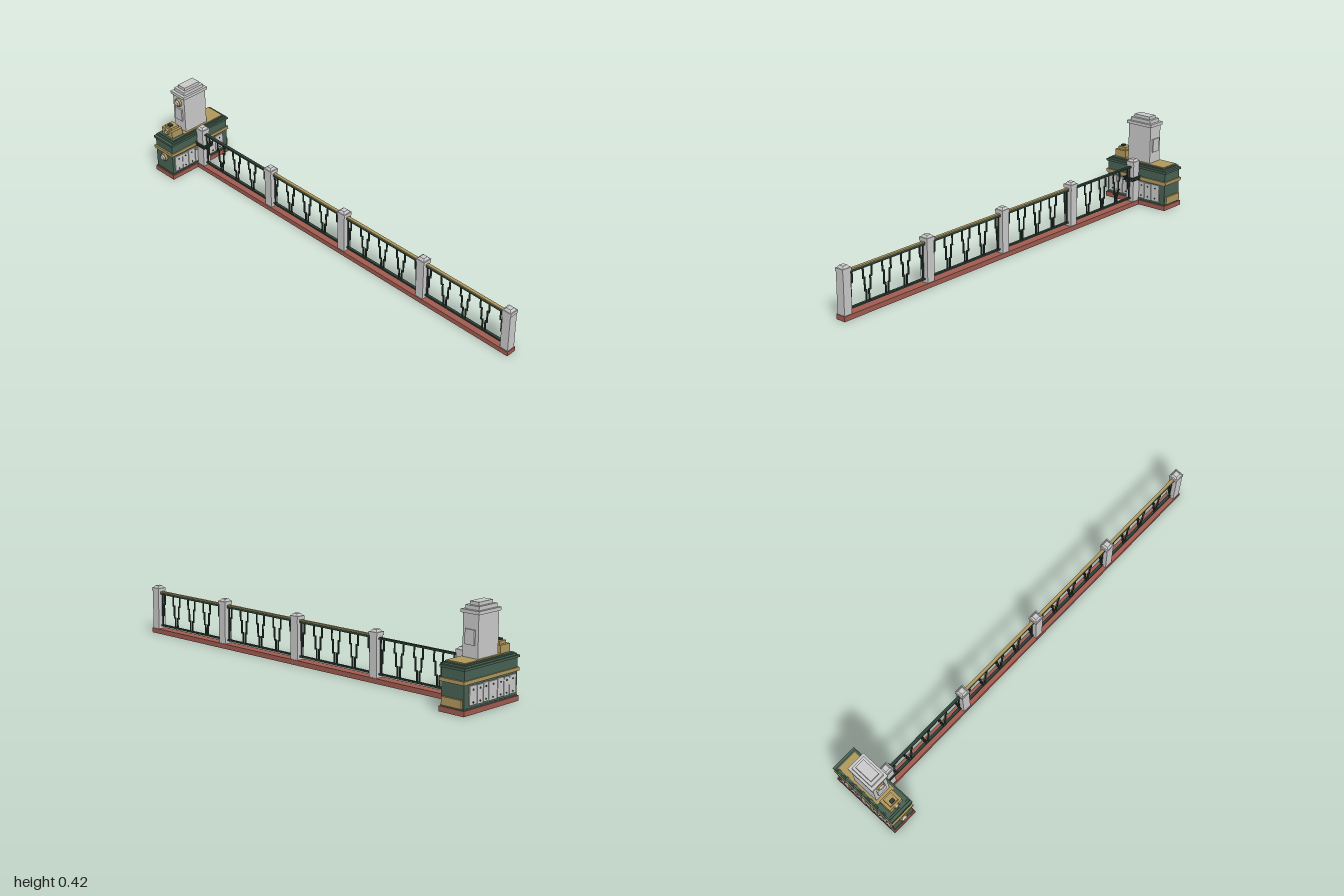
import * as THREE from 'three';

const mat = (name, color) => Object.assign(new THREE.MeshStandardMaterial({ color }), { name });

export function createModel() {
  const stone = mat('stone', 0xcacaca);
  const green = mat('green', 0x486253);
  const dark = mat('darkIron', 0x2c3f36);
  const gold = mat('gold', 0xb1985c);
  const brick = mat('brick', 0xa05b50);
  const rivetMat = mat('rivet', 0x35403c);

  const model = new THREE.Group();
  model.name = 'fenceWithGatePier';
  const CZ = -0.0035, PX = -0.936;

  // Box given by its extents
  const box = (name, m, x0, x1, y0, y1, z0, z1, parent = model) => {
    const mesh = new THREE.Mesh(new THREE.BoxGeometry(x1 - x0, y1 - y0, z1 - z0), m);
    mesh.position.set((x0 + x1) / 2, (y0 + y1) / 2, (z0 + z1) / 2);
    mesh.name = name;
    parent.add(mesh);
    return mesh;
  };
  // Box centred on the pier axis
  const slab = (name, m, w, y0, y1, d, z = CZ) =>
    box(name, m, PX - w / 2, PX + w / 2, y0, y1, z - d / 2, z + d / 2);

  // Pier plinth, body and stepped cornice
  slab('pierPlinth', brick, 0.124, 0, 0.022, 0.343);
  slab('pierFoot', green, 0.116, 0.022, 0.027, 0.334);
  slab('pierBody', green, 0.112, 0.027, 0.177, 0.33);
  slab('pierBand', gold, 0.122, 0.122, 0.137, 0.345);
  slab('corniceWide', green, 0.124, 0.177, 0.187, 0.343);
  slab('corniceMiddle', green, 0.114, 0.187, 0.195, 0.318);
  slab('corniceTop', green, 0.104, 0.195, 0.2, 0.302);
  box('goldTopRear', gold, PX - 0.047, PX + 0.047, 0.2, 0.203, -0.153, 0.075);
  box('rearGoldPlate', gold, PX - 0.05, PX + 0.05, 0.028, 0.063, -0.177, -0.168);

  // Tower with stepped cap and face plates
  slab('tower', stone, 0.076, 0.2, 0.377, 0.125);
  slab('towerPlates', stone, 0.046, 0.255, 0.316, 0.139);
  slab('towerCapWide', stone, 0.09, 0.377, 0.391, 0.139);
  slab('towerCapMiddle', stone, 0.068, 0.391, 0.407, 0.112);
  slab('towerCapTop', stone, 0.045, 0.407, 0.421, 0.086);

  // Small stepped box on the front of the pier
  slab('frontBox', gold, 0.07, 0.2, 0.234, 0.06, 0.108);
  slab('frontBoxLid', gold, 0.044, 0.234, 0.246, 0.043, 0.109);
  slab('frontBoxKnob', dark, 0.02, 0.246, 0.253, 0.016, 0.117);

  // Round medallions: gold ring around a raised stone disc
  const medallion = (y, z, r, depth) => {
    const g = new THREE.Group();
    g.name = 'medallion';
    const disc = (name, m, r0, r1, from, to) => {
      const c = new THREE.Mesh(new THREE.CylinderGeometry(r1, r0, to - from, 16), m);
      c.rotation.x = Math.PI / 2;
      c.position.z = (from + to) / 2;
      c.name = name;
      g.add(c);
    };
    disc('medallionRing', gold, r, r * 0.9, -0.002, depth * 0.6);
    disc('medallionFace', stone, r * 0.7, r * 0.55, depth * 0.6, depth);
    g.position.set(PX, y, z);
    model.add(g);
  };
  medallion(0.345, 0.059, 0.021, 0.016);
  medallion(0.098, 0.162, 0.021, 0.017);
  medallion(0.221, 0.138, 0.015, 0.009);

  // Riveted plates on both long sides of the pier
  const plates = [[0.108, 0.15], [0.073, 0.106], [0.033, 0.07], [-0.022, 0.03],
    [-0.055, -0.025], [-0.093, -0.058], [-0.14, -0.096]];
  for (const s of [-1, 1]) {
    const face = PX + s * 0.056;
    plates.forEach(([z0, z1], i) => {
      const dy = i % 2 ? -0.002 : 0;
      box('sidePlate', stone, Math.min(face, face + s * 0.005), Math.max(face, face + s * 0.005),
        0.037 + dy, 0.114 + dy, z0, z1);
      for (const y of [0.047, 0.098]) {
        const rivet = new THREE.Mesh(new THREE.CylinderGeometry(0.0035, 0.0035, 0.004, 8), rivetMat);
        rivet.rotation.z = Math.PI / 2;
        rivet.position.set(face + s * 0.006, y, (z0 + z1) / 2);
        rivet.name = 'rivet';
        model.add(rivet);
      }
    });
  }

  // Fence base
  box('fenceBase', brick, -0.874, 1, 0, 0.022, -0.027, 0.02);

  // Posts with chamfered caps
  const posts = [-0.853, -0.396, 0.061, 0.518, 0.977];
  for (const x of posts) {
    const g = new THREE.Group();
    g.name = 'post';
    box('postShaft', stone, x - 0.02, x + 0.02, 0.022, 0.2, CZ - 0.02, CZ + 0.02, g);
    box('postCap', stone, x - 0.023, x + 0.023, 0.2, 0.215, CZ - 0.0215, CZ + 0.0215, g);
    const top = new THREE.Mesh(new THREE.CylinderGeometry(0.016, 0.026, 0.01, 4, 1).toNonIndexed(), stone);
    top.geometry.computeVertexNormals();
    top.rotation.y = Math.PI / 4;
    top.position.set(x, 0.22, CZ);
    top.name = 'postCapTop';
    g.add(top);
    model.add(g);
  }

  // Iron straps tying the first post to the pier, with a gold bracket
  for (const y of [0.126, 0.133, 0.14]) {
    for (const z of [CZ - 0.025, CZ + 0.025])
      box('strapSide', dark, -0.882, -0.817, y - 0.0015, y + 0.0015, z - 0.003, z + 0.003);
    box('strapEnd', dark, -0.823, -0.817, y - 0.0015, y + 0.0015, CZ - 0.025, CZ + 0.025);
  }
  box('strapBracket', gold, -0.882, -0.87, 0.1, 0.113, 0.016, 0.028);

  // Stepped picket: height levels and sideways offset of each upright
  const steps = [[0.04, 0.085, 0.019], [0.085, 0.14, 0.011], [0.14, 0.187, 0.003]];
  const T = 0.0028;
  const picket = (x, s, parent) => {
    steps.forEach(([y0, y1, off], i) => {
      const px = x + s * off;
      box('picketUpright', dark, px - T, px + T, y0, y1, CZ - T, CZ + T, parent);
      if (i < 2) {
        const nx = x + s * steps[i + 1][2];
        box('picketStep', dark, Math.min(px, nx) - T, Math.max(px, nx) + T,
          y1 - T, y1 + T, CZ - T, CZ + T, parent);
      }
    });
  };

  // Panels between the posts
  for (let i = 0; i < 4; i++) {
    const a = posts[i] + 0.02, b = posts[i + 1] - 0.02;
    const g = new THREE.Group();
    g.name = 'panel';
    box('bottomRail', dark, a, b, 0.034, 0.041, CZ - 0.006, CZ + 0.006, g);
    box('topRail', dark, a, b, 0.185, i ? 0.196 : 0.193, CZ - 0.007, CZ + 0.007, g);
    if (i) box('handrail', gold, a, b, 0.196, 0.2, CZ - 0.007, CZ + 0.007, g);
    for (const x of [a + 0.006, b - 0.006])
      box('panelEnd', dark, x - 0.002, x + 0.002, 0.034, 0.187, CZ - T, CZ + T, g);
    const n = 8, pitch = (b - a) / n;
    for (let k = 0; k < n; k++) picket(a + (k + 0.5) * pitch, k % 2 ? 1 : -1, g);
    model.add(g);
  }
  return model;
}
